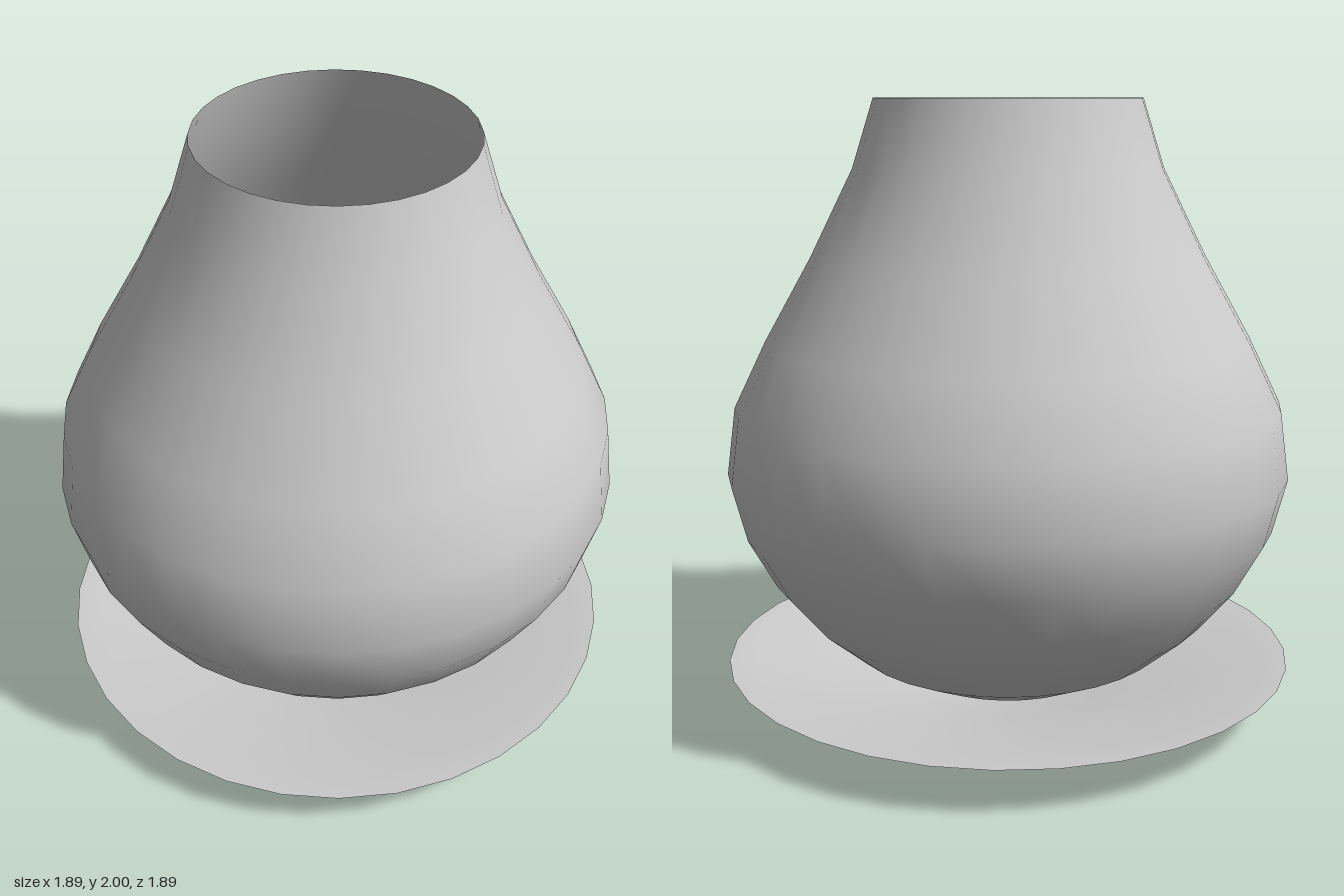
import * as THREE from 'three';

// Thin open shell turned from [radius, height] pairs, listed bottom to top
function turned(name, profile) {
  const points = profile.map(([r, y]) => new THREE.Vector2(r, y));
  const material = new THREE.MeshStandardMaterial({ color: 0xcccccc, side: THREE.DoubleSide });
  const mesh = new THREE.Mesh(new THREE.LatheGeometry(points, 32), material);
  mesh.name = name;
  return mesh;
}

export function createModel() {
  const group = new THREE.Group();
  group.name = 'vaseOnSaucer';

  // Pear-shaped vase, open at the neck
  group.add(turned('vaseBody', [
    [0, 0.03], [0.15, 0.04], [0.34, 0.095], [0.53, 0.19], [0.67, 0.31],
    [0.79, 0.455], [0.88, 0.62], [0.925, 0.8], [0.895, 1.02], [0.79, 1.235],
    [0.64, 1.5], [0.5, 1.78], [0.43, 2],
  ]));

  // Shallow dish below it
  group.add(turned('saucer', [
    [0, 0], [0.13, 0.012], [0.37, 0.06], [0.58, 0.105], [0.85, 0.148], [0.945, 0.155],
  ]));

  return group;
}
